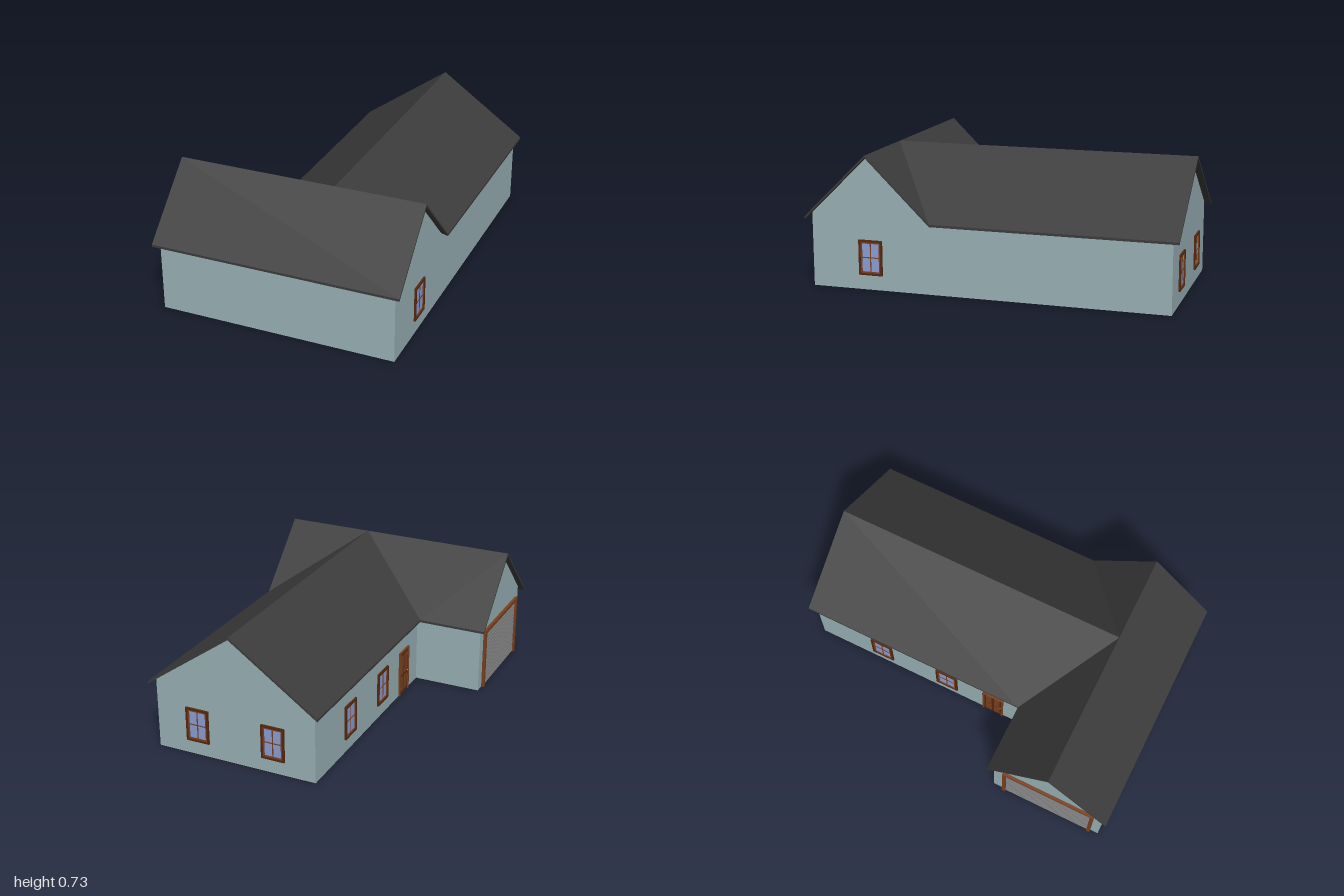
import * as THREE from 'three';

const mat = (color) => new THREE.MeshStandardMaterial({ color });
const WALL = mat(0x9ab2b7), ROOF = mat(0x3c3c3c), WOOD = mat(0x7a4220), DARK = mat(0x55290f);
const GLASS = mat(0x8d9fd6), METAL = mat(0x8a8a8a), BRASS = mat(0xb08a3c);

const PEAK = 0.725, EAVE = 0.383, THICK = 0.013;
// The two wings: ridge position, roof half width, wall half width
const MAIN = { mid: 0.19, roof: 0.485, wall: 0.455 };
const CROSS = { mid: 0.65, roof: 0.35, wall: 0.32 };
const slope = (wing) => (PEAK - EAVE) / wing.roof;

function add(parent, name, geometry, material) {
  const mesh = new THREE.Mesh(geometry, material);
  mesh.name = name;
  parent.add(mesh);
  return mesh;
}

function box(parent, name, w, h, d, x, y, z, material) {
  const mesh = add(parent, name, new THREE.BoxGeometry(w, h, d), material);
  mesh.position.set(x, y, z);
  return mesh;
}

const shapeOf = (points) => new THREE.Shape(points.map(([x, y]) => new THREE.Vector2(x, y)));

// Gabled wall block, extruded along its ridge
function wallBlock(wing, length) {
  const w = wing.wall, top = PEAK - THICK, shoulder = top - slope(wing) * w;
  const outline = shapeOf([[-w, 0], [w, 0], [w, shoulder], [0, top], [-w, shoulder]]);
  return new THREE.ExtrudeGeometry(outline, { depth: length, bevelEnabled: false });
}

// Thin roof slab: a plan outline (x, z) lifted onto the slope of its wing
function roofSlab(parent, name, plan, wing, axis) {
  const geo = new THREE.ExtrudeGeometry(shapeOf(plan), { depth: THICK, bevelEnabled: false });
  geo.rotateX(Math.PI / 2);
  const p = geo.attributes.position;
  for (let i = 0; i < p.count; i++) {
    const across = axis === 'x' ? p.getX(i) : p.getZ(i);
    p.setY(i, p.getY(i) + PEAK - slope(wing) * Math.abs(across - wing.mid));
  }
  geo.computeVertexNormals();
  return add(parent, name, geo, ROOF);
}

// Rectangular ring standing on z = 0
function ring(parent, name, w, h, bar, depth, material) {
  const rect = (a, b) => [[-a, -b], [a, -b], [a, b], [-a, b]];
  const outline = shapeOf(rect(w / 2, h / 2));
  outline.holes.push(shapeOf(rect(w / 2 - bar, h / 2 - bar)));
  return add(parent, name, new THREE.ExtrudeGeometry(outline, { depth, bevelEnabled: false }), material);
}

// Four-pane window
function makeWindow() {
  const g = new THREE.Group();
  g.name = 'window';
  ring(g, 'windowFrame', 0.132, 0.19, 0.011, 0.01, DARK);
  ring(g, 'windowSash', 0.11, 0.168, 0.008, 0.007, WOOD);
  box(g, 'windowGlass', 0.1, 0.16, 0.003, 0, 0, 0.0015, GLASS);
  box(g, 'verticalBar', 0.005, 0.156, 0.005, 0, 0, 0.0035, WOOD);
  box(g, 'horizontalBar', 0.1, 0.005, 0.005, 0, 0, 0.0035, WOOD);
  return g;
}

// Two posts and a lintel
function surround(parent, w, h, bar, depth) {
  for (const s of [-1, 1]) {
    box(parent, 'doorPost', bar, h, depth, s * (w - bar) / 2, h / 2, depth / 2, WOOD);
  }
  box(parent, 'doorLintel', w - 2 * bar, bar, depth, 0, h - bar / 2, depth / 2, WOOD);
}

// Panelled front door
function makeDoor() {
  const g = new THREE.Group();
  g.name = 'entryDoor';
  surround(g, 0.126, 0.265, 0.01, 0.01);
  box(g, 'doorLeaf', 0.106, 0.255, 0.004, 0, 0.1275, 0.002, DARK);
  for (const x of [-0.024, 0.024]) {
    box(g, 'lowerPanel', 0.034, 0.085, 0.003, x, 0.062, 0.005, WOOD);
    box(g, 'upperPanel', 0.034, 0.115, 0.003, x, 0.178, 0.005, WOOD);
  }
  add(g, 'doorKnob', new THREE.SphereGeometry(0.004, 10, 8), BRASS).position.set(0.046, 0.12, 0.006);
  return g;
}

// Slatted garage door
function makeGarageDoor() {
  const g = new THREE.Group();
  g.name = 'garageDoor';
  surround(g, 0.54, 0.35, 0.02, 0.016);
  const slats = 14, pitch = 0.33 / slats;
  box(g, 'garageBacking', 0.5, 0.33, 0.003, 0, 0.165, 0.0015, METAL);
  for (let i = 0; i < slats; i++) {
    box(g, 'garageSlat', 0.5, pitch * 0.86, 0.004, 0, (i + 0.5) * pitch, 0.004, METAL);
  }
  return g;
}

export function createModel() {
  const house = new THREE.Group();
  house.name = 'house';

  // Walls
  add(house, 'mainWalls', wallBlock(MAIN, 1.615), WALL).position.set(MAIN.mid, 0, -0.965);
  const crossWalls = add(house, 'crossWalls', wallBlock(CROSS, 1.29), WALL);
  crossWalls.rotation.y = Math.PI / 2;
  crossWalls.position.set(-0.645, 0, CROSS.mid);

  // Roof slabs meeting at the valleys
  const end = 0.677, ridge = MAIN.mid, west = ridge - MAIN.roof, east = ridge + MAIN.roof;
  const mid = CROSS.mid, back = mid - CROSS.roof;
  for (const [name, eave] of [['mainRoofRight', west], ['mainRoofLeft', east]]) {
    roofSlab(house, name, [[ridge, mid], [ridge, -1], [eave, -1], [eave, back]], MAIN, 'x');
  }
  roofSlab(house, 'crossRoofFront', [[-end, mid], [end, mid], [end, 1], [-end, 1]], CROSS, 'z');
  roofSlab(house, 'crossRoofBack', [[-end, mid], [-end, back], [west, back], [ridge, mid]], CROSS, 'z');
  roofSlab(house, 'crossRoofCorner', [[ridge, mid], [east, back], [east, mid]], CROSS, 'z');

  // Openings: part, position and facing angle
  const place = (part, x, y, z, angle) => {
    part.position.set(x, y, z);
    part.rotation.y = angle;
    house.add(part);
  };
  const sideX = MAIN.mid - MAIN.wall;
  place(makeWindow(), 0.645, 0.175, 0.64, Math.PI / 2);
  for (const s of [-1, 1]) place(makeWindow(), MAIN.mid + s * 0.218, 0.172, -0.965, Math.PI);
  for (const z of [-0.565, -0.155]) place(makeWindow(), sideX, 0.172, z, -Math.PI / 2);
  place(makeDoor(), sideX, 0, 0.135, -Math.PI / 2);
  place(makeGarageDoor(), -0.645, 0, 0.655, -Math.PI / 2);

  return house;
}
